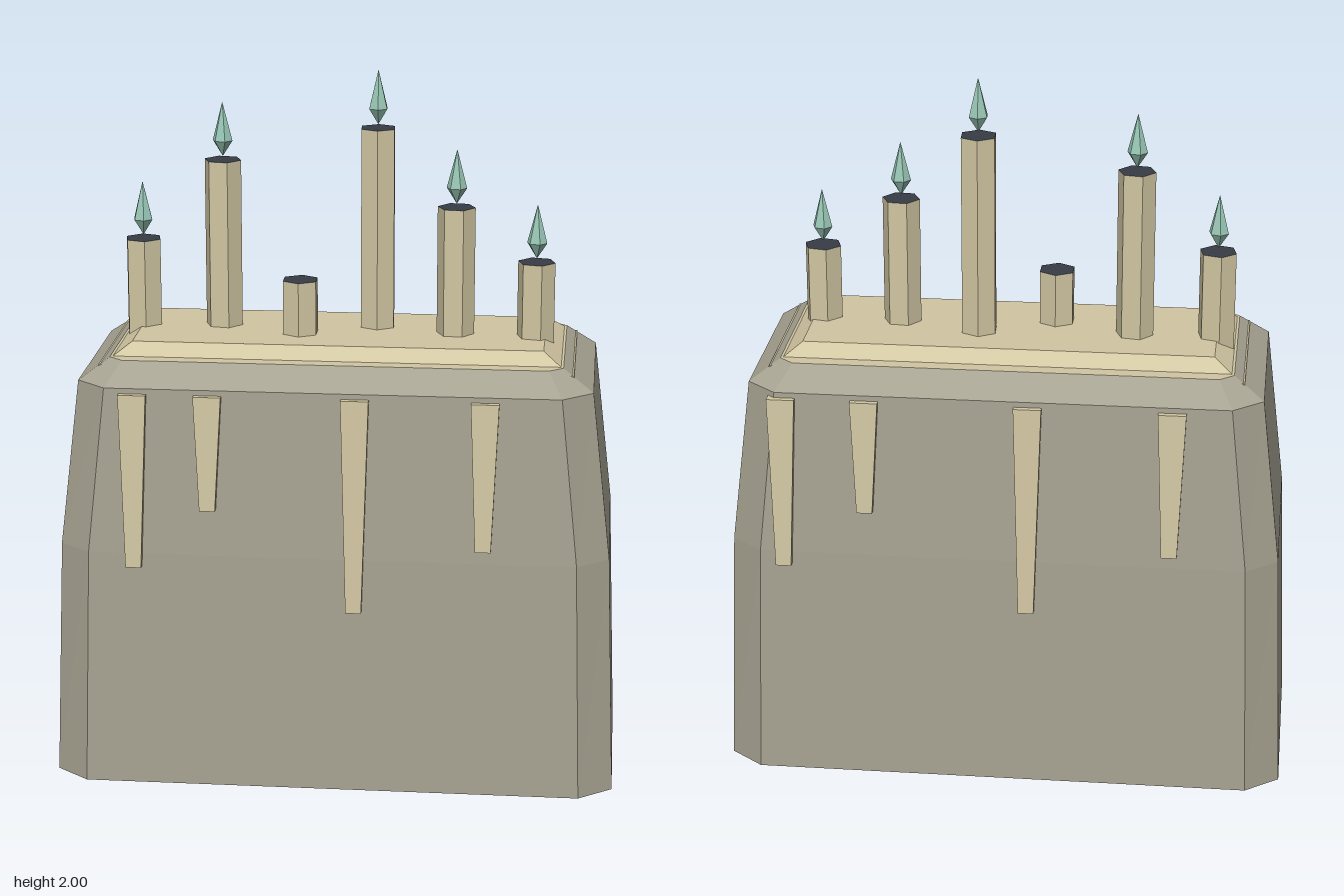
import * as THREE from 'three';

const stone = new THREE.MeshStandardMaterial({ color: 0xa7a392 });
const wax = new THREE.MeshStandardMaterial({ color: 0xd2c7a3 });
const soot = new THREE.MeshStandardMaterial({ color: 0x363c45 });
const flameTeal = new THREE.MeshStandardMaterial({ color: 0x98c6b5 });
stone.name = 'stone';
wax.name = 'wax';
soot.name = 'soot';
flameTeal.name = 'flame teal';

// Ring of points, counter-clockwise from above; cx and cz cut the corners
function ring(y, x, z, cx = 0, cz = 0, ox = 0, oz = 0) {
  const pts = cx
    ? [[cx - x, z], [x - cx, z], [x, z - cz], [x, cz - z], [x - cx, -z], [cx - x, -z], [-x, cz - z], [-x, z - cz]]
    : [[-x, z], [x, z], [x, -z], [-x, -z]];
  return pts.map(([px, pz]) => [px + ox, y, pz + oz]);
}

// Flat-faced solid through rings from bottom to top; group 0 is sides and base, group 1 the top
function loft(rings) {
  const pos = [];
  const tri = (a, b, c) => pos.push(...a, ...b, ...c);
  const n = rings[0].length;
  const top = rings[rings.length - 1];
  for (let r = 0; r + 1 < rings.length; r++) {
    for (let i = 0; i < n; i++) {
      const j = (i + 1) % n;
      tri(rings[r][i], rings[r][j], rings[r + 1][j]);
      tri(rings[r][i], rings[r + 1][j], rings[r + 1][i]);
    }
  }
  for (let i = 1; i < n - 1; i++) tri(rings[0][0], rings[0][i + 1], rings[0][i]);
  const split = pos.length / 3;
  for (let i = 1; i < n - 1; i++) tri(top[0], top[i], top[i + 1]);
  const geo = new THREE.BufferGeometry();
  geo.setAttribute('position', new THREE.Float32BufferAttribute(pos, 3));
  geo.addGroup(0, split, 0);
  geo.addGroup(split, pos.length / 3 - split, 1);
  geo.computeVertexNormals();
  return geo;
}

function add(parent, name, geo, material) {
  const mesh = new THREE.Mesh(geo, material);
  mesh.name = name;
  parent.add(mesh);
  return mesh;
}

// Depth of the block's front face at a height
const faceZ = (y) => (y < 0.69 ? 0.38 - (0.012 * y) / 0.69 : 0.368 - (0.023 * (y - 0.69)) / 0.475);

export function createModel() {
  const model = new THREE.Group();
  model.name = 'candleBlock';

  // Tapered stone block with cut corners and a wax-covered top
  add(model, 'stoneBlock', loft([
    ring(0, 0.8, 0.38, 0.095, 0.075),
    ring(0.69, 0.775, 0.368, 0.09, 0.075),
    ring(1.165, 0.72, 0.345, 0.085, 0.075),
    ring(1.225, 0.635, 0.27, 0.04, 0.035),
  ]), [stone, wax]);

  // Wax pool with sloped rim, and its thin edge showing at both ends
  add(model, 'waxPool', loft([ring(1.22, 0.635, 0.232), ring(1.26, 0.578, 0.19)]), [wax, wax]);
  add(model, 'waxEdge', loft([ring(1.18, 0.665, 0.25), ring(1.207, 0.665, 0.25)]), [wax, wax]);

  // Wax drips on the front, repeated turned round on the back
  const drips = [[-0.555, 0.655], [-0.345, 0.825], [0.065, 0.54], [0.425, 0.73]];
  for (const side of [1, -1]) {
    drips.forEach(([x, bottom]) => {
      const drip = add(model, side > 0 ? 'frontDrip' : 'backDrip', loft([
        ring(bottom, 0.022, 0.02, 0, 0, 0, faceZ(bottom) + 0.001),
        ring(1.15, 0.039, 0.02, 0, 0, 0, 0.343),
      ]), [wax, wax]);
      drip.position.x = side > 0 ? x : -1.11 * x;
      if (side < 0) drip.rotation.y = Math.PI;
    });
  }

  // Candles: x, z, top height, turn, lit
  const candles = [
    [-0.575, 0.02 - 0.04, 1.51, 0.2, true],
    [-0.345, -0.03, 1.74, 0.35, true],
    [-0.117, 0.05, 1.415, 0, false],
    [0.095, -0.05, 1.835, 0.05, true],
    [0.322, 0.012, 1.625, 0.42, true],
    [0.55, 0.025, 1.475, 0.3, true],
  ];
  for (const [x, z, top, turn, lit] of candles) {
    const candle = new THREE.Group();
    candle.name = 'candle';
    candle.position.set(x, 0, z);
    candle.rotation.y = turn;
    model.add(candle);

    const height = top - 1.2;
    const stick = new THREE.CylinderGeometry(0.054, 0.054, height, 6).toNonIndexed();
    stick.computeVertexNormals();
    add(candle, 'candleStick', stick, [wax, soot, wax]).position.y = top - height / 2;

    // Pointed flame floating above the candle
    if (lit) {
      const profile = [[0, 0], [0.029, 0.045], [0, 0.155]].map(([r, y]) => new THREE.Vector2(r, y));
      const flame = new THREE.LatheGeometry(profile, 6).toNonIndexed();
      flame.computeVertexNormals();
      add(candle, 'flame', flame, flameTeal).position.y = top + 0.01;
    }
  }
  return model;
}
